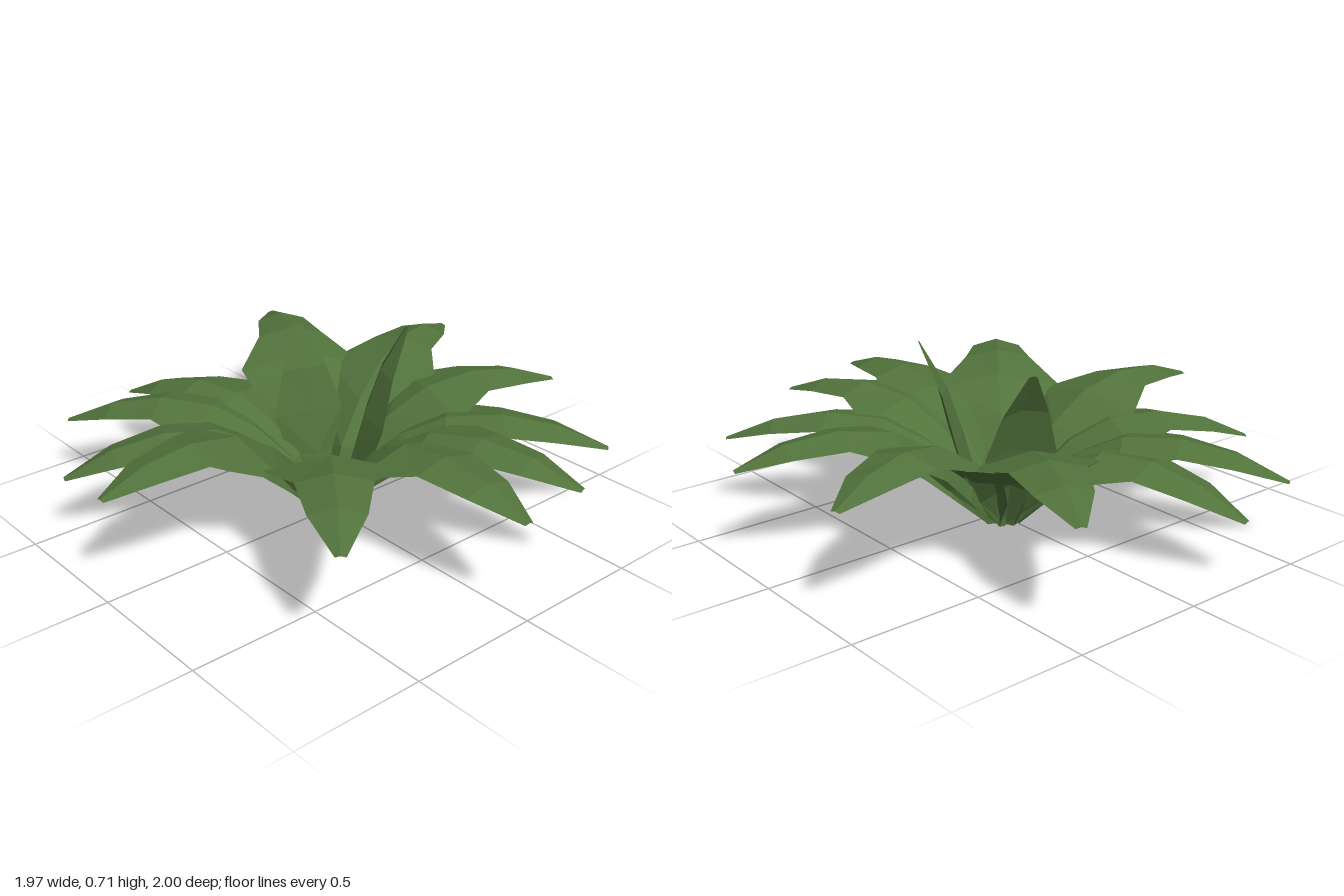
import * as THREE from 'three';

// Heart of the rosette, where all leaf bases meet
const CENTRE = { x: 0.02, z: -0.055 };

// Stations along a leaf: [radius, height, half width, drop of the edges below the midrib]
const SPREADING = [
  [0.045, 0, 0.025, 0.026],
  [0.12, 0.185, 0.125, 0.068],
  [0.26, 0.325, 0.18, 0.06],
  [0.425, 0.425, 0.24, 0.052],
  [0.625, 0.463, 0.132, 0.033],
  [0.82, 0.447, 0.098, 0.028],
  [1.0, 0.385, 0.018, 0.006],
];
const UPRIGHT = [
  [0.045, 0, 0.025, 0.022],
  [0.10, 0.19, 0.10, 0.045],
  [0.145, 0.36, 0.14, 0.045],
  [0.205, 0.54, 0.09, 0.03],
  [0.30, 0.71, 0.016, 0.004],
];

// Tips of the leaves: [x, y, z]
const OUTER_TIPS = [
  [0.97, 0.40, -0.39], [0.98, 0.35, 0.23], [0.75, 0.29, 0.71], [0.33, 0.35, 0.93],
  [-0.02, 0.38, 0.995], [-0.64, 0.41, 0.79], [-0.985, 0.385, -0.02], [-0.88, 0.25, -0.46],
  [-0.61, 0.25, -0.89], [-0.25, 0.23, -1.0], [0.49, 0.41, -0.975],
];
const INNER_TIPS = [[0.28, 0.71, 0.10], [0.10, 0.64, -0.31]];

// A leaf folded along a raised midrib, faceted, growing from the heart to its tip
function leafGeometry(stations, [tx, ty, tz]) {
  const dx = tx - CENTRE.x, dz = tz - CENTRE.z;
  const length = Math.hypot(dx, dz);
  const c = dx / length, s = dz / length;
  const [endR, endY] = stations[stations.length - 1];

  // Midrib in the leaf's own plane, stretched and bent to reach the tip
  const rib = stations.map(([r, y], i) => (i
    ? new THREE.Vector2(r * length / endR, y + (ty - endY) * r / endR)
    : new THREE.Vector2(r, y)));

  const positions = [];
  const put = (r, y, side) =>
    positions.push(CENTRE.x + c * r - s * side, Math.max(0, y), CENTRE.z + s * r + c * side);
  rib.forEach((p, i) => {
    const [, , half, drop] = stations[i];
    const along = rib[Math.min(i + 1, rib.length - 1)].clone()
      .sub(rib[Math.max(i - 1, 0)]).normalize();
    const edgeR = p.x + along.y * drop, edgeY = p.y - along.x * drop;
    put(edgeR, edgeY, -half);
    put(p.x, p.y, 0);
    put(edgeR, edgeY, half);
  });

  const index = [];
  for (let i = 0; i < rib.length - 1; i++) {
    for (let j = 0; j < 2; j++) {
      const a = i * 3 + j, b = a + 1, d = a + 3, e = a + 4;
      // Mirror the diagonals about the midrib
      if (j === 0) index.push(a, b, d, b, e, d);
      else index.push(a, b, e, a, e, d);
    }
  }
  const geometry = new THREE.BufferGeometry();
  geometry.setAttribute('position', new THREE.Float32BufferAttribute(positions, 3));
  geometry.setIndex(index);
  const faceted = geometry.toNonIndexed();
  faceted.computeVertexNormals();
  return faceted;
}

export function createModel() {
  const model = new THREE.Group();
  model.name = 'rosettePlant';

  const leafGreen = new THREE.MeshStandardMaterial({
    color: 0x52733c, side: THREE.DoubleSide, flatShading: true,
  });
  leafGreen.name = 'leaf green';

  const addLeaves = (name, stations, tips) => tips.forEach((tip, i) => {
    const leaf = new THREE.Mesh(leafGeometry(stations, tip), leafGreen);
    leaf.name = `${name}${i + 1}`;
    model.add(leaf);
  });
  addLeaves('spreadingLeaf', SPREADING, OUTER_TIPS);
  addLeaves('uprightLeaf', UPRIGHT, INNER_TIPS);

  return model;
}
